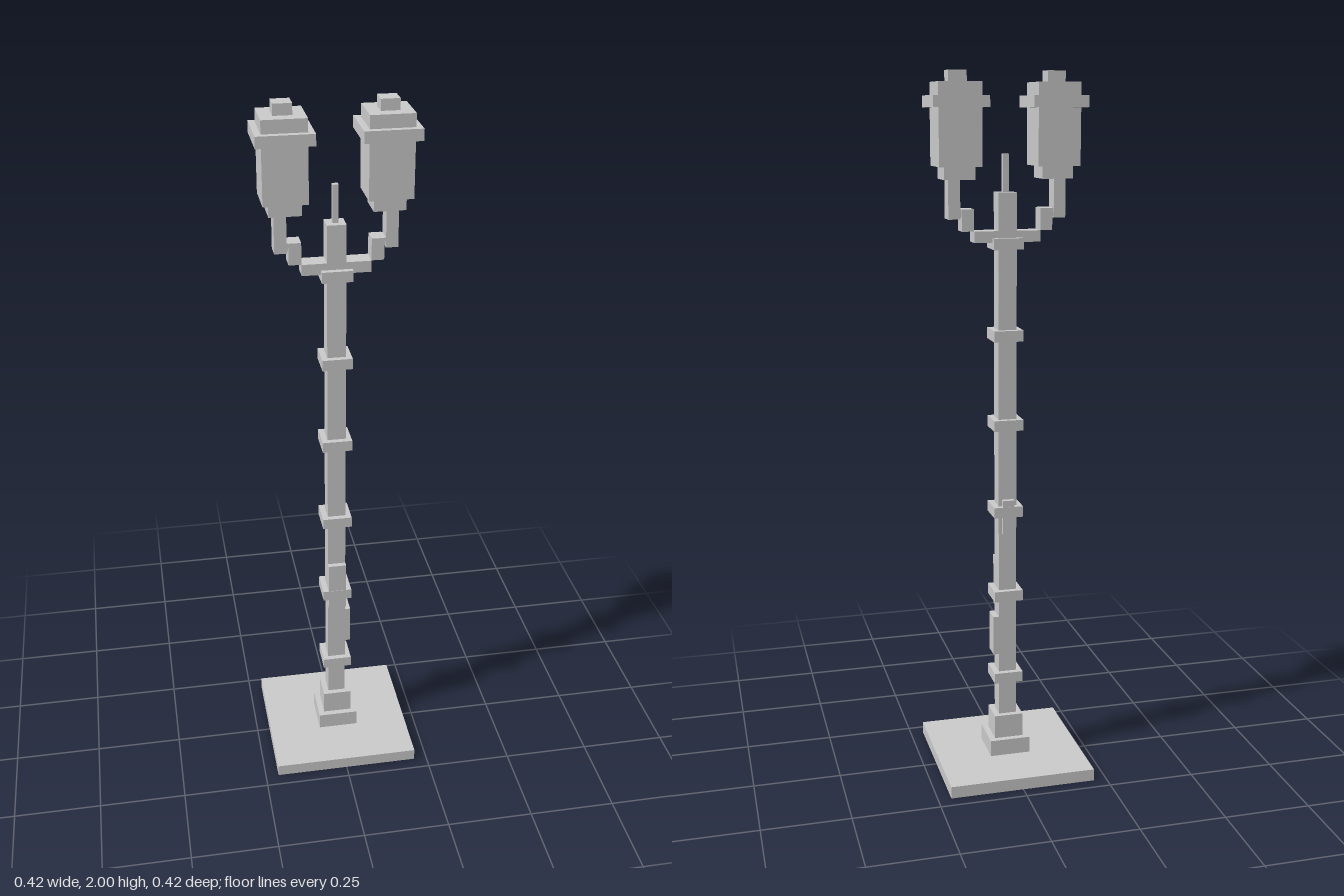
import * as THREE from 'three';

export function createModel() {
  const root = new THREE.Group();
  root.name = 'streetLamp';
  const metal = new THREE.MeshStandardMaterial({ color: 0xcacaca });
  metal.name = 'light grey metal';

  // Box from its x, y and z ranges
  function block(parent, name, [x0, x1], [y0, y1], [z0, z1]) {
    const mesh = new THREE.Mesh(new THREE.BoxGeometry(x1 - x0, y1 - y0, z1 - z0), metal);
    mesh.position.set((x0 + x1) / 2, (y0 + y1) / 2, (z0 + z1) / 2);
    mesh.name = name;
    parent.add(mesh);
  }
  // Square block centred on the vertical line at cx
  function square(parent, name, half, y0, y1, cx = 0) {
    block(parent, name, [cx - half, cx + half], [y0, y1], [-half, half]);
  }

  // Base, pole and finial
  square(root, 'basePlate', 0.212, 0, 0.035);
  square(root, 'lowerPlinth', 0.059, 0.035, 0.083);
  square(root, 'upperPlinth', 0.042, 0.083, 0.153);
  square(root, 'pole', 0.026, 0.153, 1.68);
  square(root, 'finial', 0.008, 1.68, 1.782);

  // Collars along the pole
  for (let i = 0; i < 6; i++) {
    const y = 0.257 + i * 0.254;
    square(root, 'collar', 0.042, y, y + 0.031);
  }

  // Plates fixed to the pole
  block(root, 'sidePlate', [0.026, 0.042], [0.343, 0.46], [-0.026, 0.026]);
  block(root, 'frontPlate', [-0.026, 0.026], [0.48, 0.63], [0.026, 0.041]);
  block(root, 'backPlate', [-0.017, 0.017], [0.715, 0.815], [-0.041, -0.026]);

  // Stepped arm and lantern on each side
  for (const side of [1, -1]) {
    const arm = new THREE.Group();
    arm.name = side > 0 ? 'leftArm' : 'rightArm';
    const span = (a, b) => (side > 0 ? [a, b] : [-b, -a]);
    block(arm, 'armBeam', span(0.026, 0.093), [1.546, 1.577], [-0.026, 0.026]);
    block(arm, 'armStep', span(0.093, 0.127), [1.577, 1.637], [-0.024, 0.024]);
    block(arm, 'armLink', span(0.12, 0.14), [1.615, 1.637], [-0.02, 0.02]);
    block(arm, 'armPost', span(0.131, 0.164), [1.61, 1.716], [-0.024, 0.024]);

    const lantern = new THREE.Group();
    lantern.name = 'lantern';
    const cx = side * 0.136;
    square(lantern, 'lanternCup', 0.043, 1.716, 1.75, cx);
    square(lantern, 'lanternBody', 0.059, 1.75, 1.904, cx);
    square(lantern, 'lanternBrim', 0.076, 1.904, 1.935, cx);
    square(lantern, 'lanternCap', 0.059, 1.935, 1.97, cx);
    square(lantern, 'lanternKnob', 0.025, 1.97, 2, cx);
    arm.add(lantern);
    root.add(arm);
  }
  return root;
}
